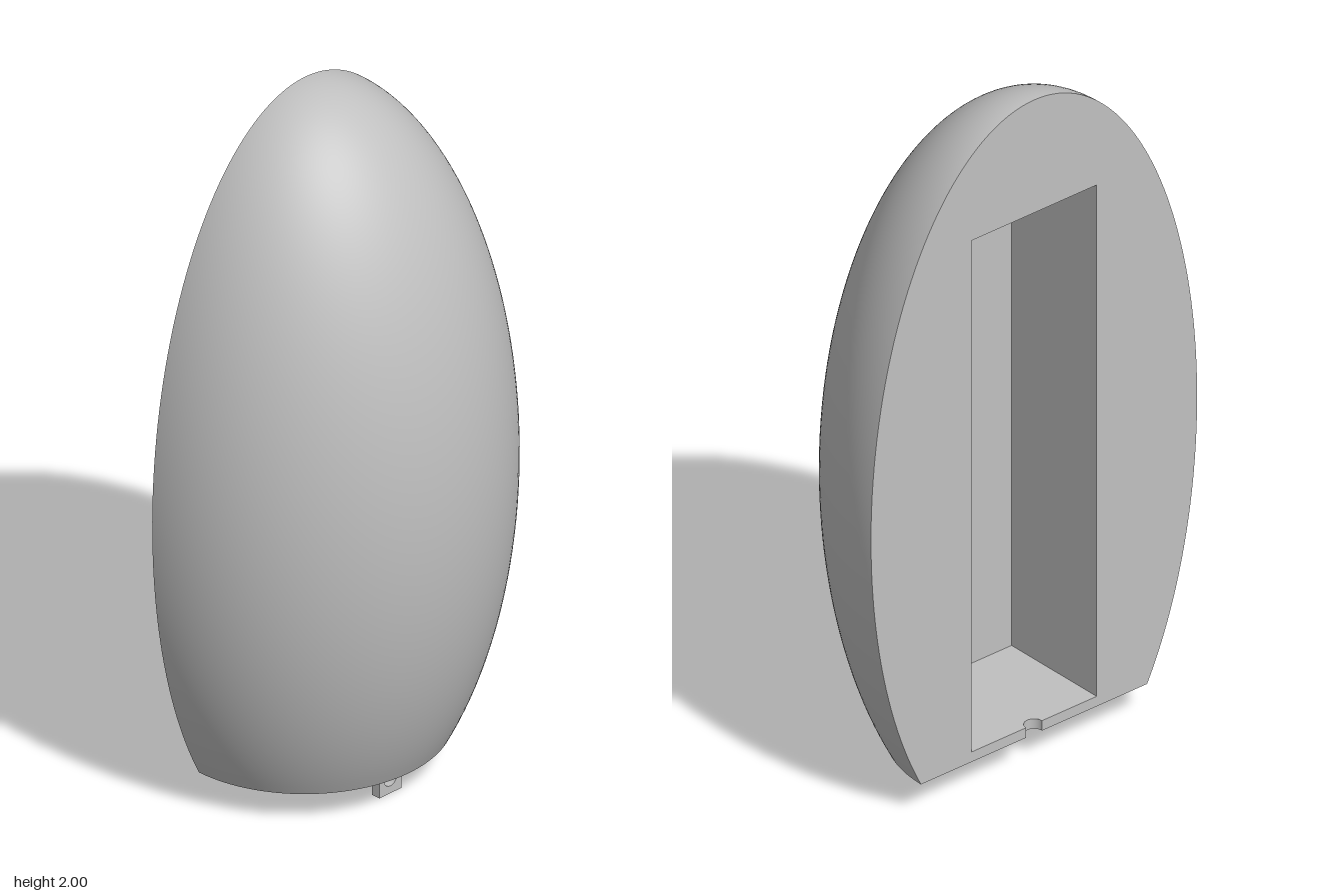
import * as THREE from 'three';

const R = 0.555, RY = 1.11, CY = 0.89;      // egg radii and centre height
const BASE = 0.09, BACK = -R / 2;           // flat cut at the bottom and at the back
const PX = 0.213, P0 = 0.12, P1 = 1.66, PD = 0.336; // pocket half width, floor, ceiling, depth
const N = 0.027;                            // radius of the cable notch

// Turn a geometry inside out
function flip(geo) {
  const ix = geo.index.array;
  for (let i = 0; i < ix.length; i += 3) [ix[i], ix[i + 1]] = [ix[i + 1], ix[i]];
  const n = geo.attributes.normal;
  for (let i = 0; i < n.count; i++) n.setXYZ(i, -n.getX(i), -n.getY(i), -n.getZ(i));
  return geo;
}

export function createModel() {
  const group = new THREE.Group();
  const grey = new THREE.MeshStandardMaterial({ color: 0xc0c0c0 });
  grey.name = 'grey';
  const add = (name, geo, x = 0, y = 0, z = 0) => {
    const mesh = new THREE.Mesh(geo, grey);
    mesh.name = name;
    mesh.position.set(x, y, z);
    group.add(mesh);
  };

  // Egg profile from the bottom cut to the tip
  const a0 = Math.asin((BASE - CY) / RY);
  const profile = [];
  for (let i = 0; i <= 64; i++) {
    const a = a0 + (Math.PI / 2 - a0) * i / 64;
    profile.push(new THREE.Vector2(i === 64 ? 0 : R * Math.cos(a), CY + RY * Math.sin(a)));
  }
  const r0 = profile[0].x;

  // Rounded front shell
  add('shell', new THREE.LatheGeometry(profile, 72, -Math.PI / 2, Math.PI), 0, 0, BACK);

  // Flat back with the pocket opening, which runs out through the notch
  const mirrored = profile.slice(0, -1).reverse().map(p => new THREE.Vector2(-p.x, p.y));
  const opening = [[-N, BASE], [-N, P0], [-PX, P0], [-PX, P1], [PX, P1], [PX, P0], [N, P0], [N, BASE]]
    .map(([x, y]) => new THREE.Vector2(x, y));
  const back = new THREE.ShapeGeometry(new THREE.Shape([...profile, ...mirrored, ...opening]));
  add('backFace', back.rotateY(Math.PI), 0, 0, BACK);

  // Flat bottom, a half disc with the notch cut out
  const bottom = new THREE.Shape();
  bottom.moveTo(N, 0);
  bottom.lineTo(r0, 0);
  bottom.absarc(0, 0, r0, 0, Math.PI, false);
  bottom.lineTo(-N, 0);
  bottom.absarc(0, 0, N, Math.PI, 0, true);
  add('bottomFace', new THREE.ShapeGeometry(bottom, 72).rotateX(Math.PI / 2), 0, BASE, BACK);

  // Pocket walls: box sides facing inwards, without floor and back
  const box = new THREE.BoxGeometry(2 * PX, P1 - P0, PD);
  const ix = Array.from(box.index.array);
  box.setIndex([...ix.slice(0, 18), ...ix.slice(24, 30)]);
  box.clearGroups();
  add('pocketWalls', flip(box), 0, (P0 + P1) / 2, BACK + PD / 2);

  // Pocket floor with the notch
  const floor = new THREE.Shape();
  floor.moveTo(N, 0);
  floor.lineTo(PX, 0);
  floor.lineTo(PX, PD);
  floor.lineTo(-PX, PD);
  floor.lineTo(-PX, 0);
  floor.lineTo(-N, 0);
  floor.absarc(0, 0, N, Math.PI, 0, true);
  add('pocketFloor', flip(new THREE.ShapeGeometry(floor, 24).rotateX(Math.PI / 2)), 0, P0, BACK);

  // Half-round wall of the notch
  const notch = new THREE.CylinderGeometry(N, N, P0 - BASE, 24, 1, true, -Math.PI / 2, Math.PI);
  add('notchWall', flip(notch), 0, (P0 + BASE) / 2, BACK);

  // Hanging tab with a round hole
  const T = 0.04, thick = 0.028, tabZ = 0.022;
  const tab = new THREE.Shape();
  tab.moveTo(-T, 0);
  tab.lineTo(T, 0);
  tab.lineTo(T, BASE);
  tab.lineTo(-T, BASE);
  const hole = new THREE.Path();
  hole.absarc(0, 0.045, 0.023, 0, Math.PI * 2, true);
  tab.holes.push(hole);
  add('tab', new THREE.ExtrudeGeometry(tab, { depth: thick, bevelEnabled: false, curveSegments: 24 }),
    0, 0, tabZ - thick / 2);

  // Flared foot where the tab meets the body
  const foot = new THREE.BoxGeometry(2 * T, 0.012, thick);
  const pos = foot.attributes.position;
  for (let i = 0; i < pos.count; i++) {
    if (pos.getY(i) > 0) {
      pos.setX(i, pos.getX(i) + Math.sign(pos.getX(i)) * 0.009);
      pos.setZ(i, pos.getZ(i) + Math.sign(pos.getZ(i)) * 0.009);
    }
  }
  foot.computeVertexNormals();
  add('tabFoot', foot, 0, BASE - 0.006, tabZ);

  return group;
}
